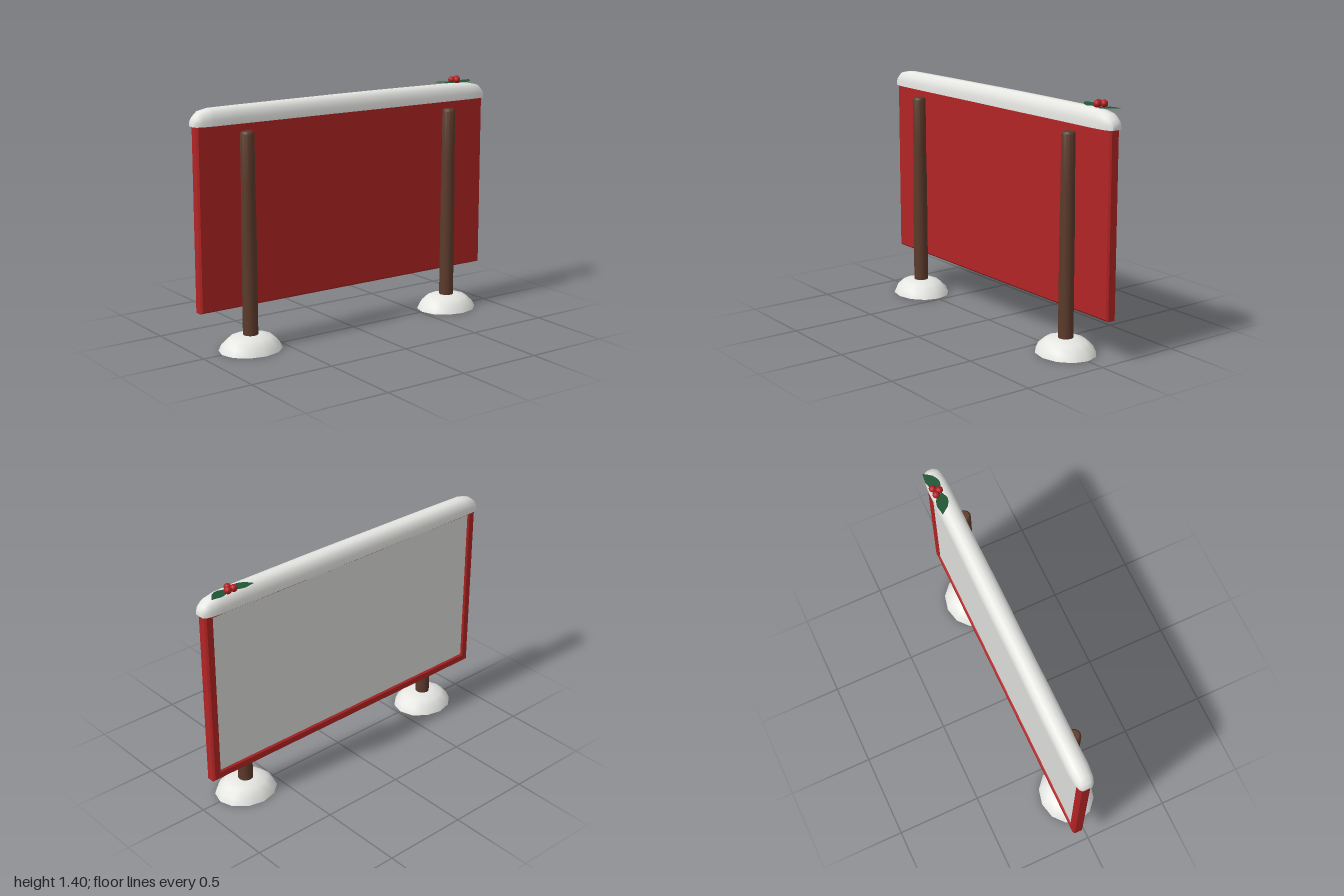
import * as THREE from 'three';
import { toCreasedNormals } from 'three/addons/utils/BufferGeometryUtils.js';

const BOARD_Z = -0.069;

function material(name, color, side = THREE.FrontSide) {
  const m = new THREE.MeshStandardMaterial({ color, side });
  m.name = name;
  return m;
}

function rectangle(Type, x, y0, y1) {
  const r = new Type();
  r.moveTo(-x, y0);
  r.lineTo(x, y0);
  r.lineTo(x, y1);
  r.lineTo(-x, y1);
  r.closePath();
  return r;
}

// Snow bar lofted along x; each station is [x, half width, height]
function snowCapGeometry() {
  const ends = [[1, 0.028, 0.034], [0.985, 0.041, 0.055], [0.955, 0.051, 0.08], [0.89, 0.057, 0.093]];
  const stations = ends.map(([x, w, h]) => [-x, w, h]);
  for (let x = -0.75; x < 0.8; x += 0.15) {
    stations.push([x, 0.057 + 0.001 * Math.sin(x * 9), 0.097 + 0.004 * Math.sin(x * 2 + 1)]);
  }
  stations.push(...ends.slice().reverse());
  const profile = [[1, 0], [1, 0.35], [0.87, 0.72], [0.5, 0.96], [0, 1],
    [-0.5, 0.96], [-0.87, 0.72], [-1, 0.35], [-1, 0]];
  const n = profile.length;
  const positions = [], index = [];
  for (const [x, w, h] of stations) {
    for (const [z, y] of profile) positions.push(x, 1.265 + h * y, BOARD_Z + w * z);
  }
  for (let i = 0; i < stations.length - 1; i++) {
    for (let j = 0; j < n; j++) {
      const a = i * n + j, b = i * n + (j + 1) % n;
      index.push(a, a + n, b, b, a + n, b + n);
    }
  }
  const last = (stations.length - 1) * n;
  for (let j = 1; j < n - 1; j++) {
    index.push(0, j, j + 1, last, last + j + 1, last + j);
  }
  const g = new THREE.BufferGeometry();
  g.setAttribute('position', new THREE.Float32BufferAttribute(positions, 3));
  g.setIndex(index);
  return toCreasedNormals(g, 0.85);
}

// Holly leaf lying along +x from its stem, drooping toward the tip
function leafGeometry() {
  const half = [[0.03, 0.03], [0.055, 0.034], [0.085, 0.03], [0.11, 0.015]];
  const s = new THREE.Shape();
  s.moveTo(0, 0);
  half.forEach(([x, y]) => s.lineTo(x, y));
  s.lineTo(0.135, 0);
  half.slice().reverse().forEach(([x, y]) => s.lineTo(x, -y));
  s.closePath();
  const g = new THREE.ShapeGeometry(s).rotateX(-Math.PI / 2);
  const p = g.attributes.position;
  for (let i = 0; i < p.count; i++) {
    const x = p.getX(i);
    p.setY(i, 0.008 * Math.sin(x * 20) - 0.3 * Math.abs(p.getZ(i)) * 0.6);
  }
  g.computeVertexNormals();
  return g;
}

export function createModel() {
  const red = material('red paint', 0xb22424);
  const wood = material('brown wood', 0x5c3a2b);
  const snow = material('snow white', 0xe6e6e3);
  const panelGrey = material('panel pale grey', 0xdcdcd9);
  const green = material('holly green', 0x1f5634, THREE.DoubleSide);
  const berryRed = material('berry red', 0xb01f22);

  const model = new THREE.Group();
  model.name = 'snowySignboard';
  const add = (name, geometry, mat, parent = model) => {
    const m = new THREE.Mesh(geometry, mat);
    m.name = name;
    parent.add(m);
    return m;
  };

  // Chamfered frame, open at the back
  const outline = rectangle(THREE.Shape, 0.987, 0.238, 1.295);
  outline.holes.push(rectangle(THREE.Path, 0.932, 0.293, 1.24));
  const bevel = 0.01;
  add('frame', new THREE.ExtrudeGeometry(outline, {
    depth: 0.064 - 2 * bevel, bevelEnabled: true, bevelSegments: 1,
    bevelSize: bevel, bevelThickness: bevel, bevelOffset: -bevel,
  }), red).position.z = BOARD_Z - 0.032 + bevel;

  // Solid board filling the frame, and the blank display panel on its back
  add('board', new THREE.BoxGeometry(1.9, 0.985, 0.052), red).position.set(0, 0.7665, BOARD_Z + 0.006);
  add('displayPanel', new THREE.BoxGeometry(1.866, 0.949, 0.004), panelGrey).position.set(0, 0.7665, BOARD_Z - 0.021);

  // Posts with snow mounds at their feet
  const postProfile = [[0, 0], [0.043, 0], [0.042, 0.7], [0.039, 0.92], [0.039, 1.212], [0.03, 1.224], [0, 1.224]];
  const moundProfile = [[0, 0], [0.185, 0], [0.168, 0.036], [0.125, 0.073], [0.07, 0.086], [0, 0.088]];
  const lathe = (points, sides) => toCreasedNormals(
    new THREE.LatheGeometry(points.map(([r, y]) => new THREE.Vector2(r, y)), sides), 0.75);
  for (const [side, x] of [['left', 0.697], ['right', -0.7]]) {
    add(side + 'Post', lathe(postProfile, 12), wood).position.x = x;
    const mound = add(side + 'SnowMound', lathe(moundProfile, 12), snow);
    mound.position.x = x;
    mound.scale.z = 0.87;
  }

  add('snowCap', snowCapGeometry(), snow);

  // Holly sprig
  const holly = new THREE.Group();
  holly.name = 'hollySprig';
  holly.position.set(0.825, 1.364, -0.1);
  model.add(holly);
  const leaf = leafGeometry();
  const leftLeaf = add('leftLeaf', leaf, green, holly);
  leftLeaf.position.set(0.01, 0, 0.028);
  leftLeaf.rotation.y = 0.42;
  const rightLeaf = add('rightLeaf', leaf, green, holly);
  rightLeaf.position.set(-0.015, 0.002, 0.025);
  rightLeaf.rotation.y = Math.PI - 0.38;
  const berry = new THREE.SphereGeometry(0.021, 12, 8);
  for (const [x, y, z] of [[-0.019, 0.013, -0.01], [0.021, 0.015, -0.014], [0, 0.014, 0.016]]) {
    add('berry', berry, berryRed, holly).position.set(x, y, z);
  }
  return model;
}
